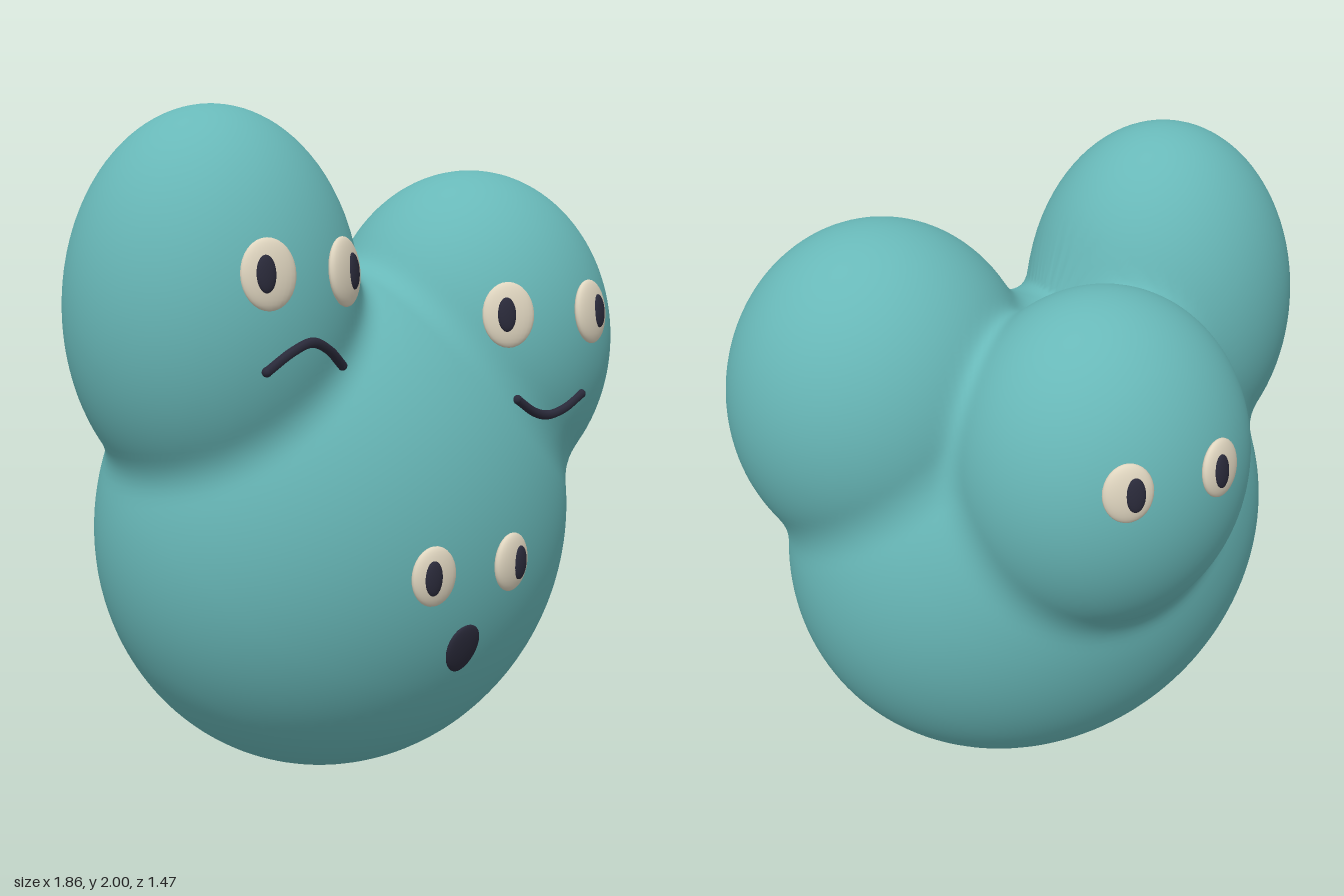
import * as THREE from 'three';
import { mergeVertices } from 'three/addons/utils/BufferGeometryUtils.js';

const teal = new THREE.MeshStandardMaterial({ color: 0x68b8b8 });
teal.name = 'teal skin';
const cream = new THREE.MeshStandardMaterial({ color: 0xe0d6c0 });
cream.name = 'cream eye';
const dark = new THREE.MeshStandardMaterial({ color: 0x2a2a3a });
dark.name = 'dark pupil and mouth';

// Lobes of the blob: centre and radii
const lobes = [
  { c: [0, 0.77, 0.1], r: [0.8, 0.77, 0.6] }, // belly
  { c: [-0.5, 1.43, 0.145], r: [0.43, 0.57, 0.405] }, // right head
  { c: [0.455, 1.3, 0.19], r: [0.47, 0.53, 0.435] }, // left head
  { c: [0, 1.18, -0.31], r: [0.46, 0.52, 0.41] }, // back head
];

// Approximate distance to one ellipsoid
function lobeDistance(p, { c, r }) {
  let a = 0, b = 0;
  [p.x, p.y, p.z].forEach((v, i) => {
    const d = (v - c[i]) / r[i];
    a += d * d;
    b += (d / r[i]) ** 2;
  });
  const k = Math.sqrt(a);
  return (k * (k - 1)) / Math.max(Math.sqrt(b), 1e-6);
}

// Lobes joined with a small soft fillet
function distance(p) {
  const k = 0.06;
  return lobes.map((l) => lobeDistance(p, l)).reduce((a, b) => {
    const h = Math.max(k - Math.abs(a - b), 0) / k;
    return Math.min(a, b) - (h * h * k) / 4;
  });
}

// Walk from outside along a direction until the skin is reached
function hitSkin(start, dir) {
  const p = start.clone();
  for (let i = 0; i < 90; i++) {
    const d = distance(p);
    if (d < 0.0004) break;
    p.addScaledVector(dir, d * 0.8);
  }
  return p;
}

function skinPoint(x, y, side) {
  return hitSkin(new THREE.Vector3(x, y, side * 1.5), new THREE.Vector3(0, 0, -side));
}

function skinNormal(p) {
  const e = 0.005;
  const slope = (x, y, z) =>
    distance(p.clone().add(new THREE.Vector3(x, y, z))) -
    distance(p.clone().sub(new THREE.Vector3(x, y, z)));
  return new THREE.Vector3(slope(e, 0, 0), slope(0, e, 0), slope(0, 0, e)).normalize();
}

// Sphere shrink-wrapped onto the joined lobes
function makeBody() {
  let geo = new THREE.IcosahedronGeometry(1, 40);
  geo.deleteAttribute('normal');
  geo.deleteAttribute('uv');
  geo = mergeVertices(geo, 1e-5);
  const core = new THREE.Vector3(0, 1.2, 0.06);
  const pos = geo.attributes.position;
  for (let i = 0; i < pos.count; i++) {
    const dir = new THREE.Vector3().fromBufferAttribute(pos, i).normalize();
    const p = hitSkin(core.clone().addScaledVector(dir, 1.6), dir.clone().negate());
    pos.setXYZ(i, p.x, p.y, p.z);
  }
  geo.computeVertexNormals();
  const mesh = new THREE.Mesh(geo, teal);
  mesh.name = 'body';
  return mesh;
}

const ball = new THREE.SphereGeometry(1, 24, 16);

// Flattened eye with a raised pupil, turned along the skin
function makeEye(x, y, side, rx, ry, pupilShift) {
  const eye = new THREE.Group();
  eye.name = 'eye';
  const white = new THREE.Mesh(ball, cream);
  white.name = 'eyeWhite';
  white.scale.set(rx, ry, 0.025);
  const pupil = new THREE.Mesh(ball, dark);
  pupil.name = 'pupil';
  pupil.scale.set(0.028, 0.05, 0.012);
  pupil.position.set(pupilShift * side, 0, 0.021);
  eye.add(white, pupil);
  const p = skinPoint(x, y, side);
  const n = skinNormal(p);
  n.y *= 0.6;
  eye.position.copy(p).addScaledVector(n, 0.01);
  eye.lookAt(eye.position.clone().add(n));
  return eye;
}

// Thin curved mouth lying on the skin
function makeMouth(points) {
  const curve = new THREE.CatmullRomCurve3(
    points.map(([x, y]) => skinPoint(x, y, 1).add(new THREE.Vector3(0, 0, 0.004))));
  const mouth = new THREE.Mesh(new THREE.TubeGeometry(curve, 28, 0.014, 8), dark);
  mouth.name = 'mouthLine';
  for (const t of [0, 1]) {
    const cap = new THREE.Mesh(ball, dark);
    cap.name = 'mouthEnd';
    cap.scale.setScalar(0.0139);
    cap.position.copy(curve.getPoint(t));
    mouth.add(cap);
  }
  return mouth;
}

// Open mouth: a flat egg, wider towards the top
function makeOpenMouth() {
  const geo = ball.clone();
  const pos = geo.attributes.position;
  for (let i = 0; i < pos.count; i++) {
    const y = pos.getY(i);
    pos.setX(i, pos.getX(i) * (1 + 0.1 * y));
  }
  geo.computeVertexNormals();
  const mouth = new THREE.Mesh(geo, dark);
  mouth.name = 'openMouth';
  mouth.scale.set(0.06, 0.077, 0.015);
  const p = skinPoint(0, 0.465, 1);
  const n = skinNormal(p);
  mouth.position.copy(p).addScaledVector(n, 0.005);
  mouth.lookAt(mouth.position.clone().add(n));
  return mouth;
}

export function createModel() {
  const model = new THREE.Group();
  model.name = 'blobCreature';
  model.add(makeBody());

  // Eyes: x, y, side, radii, pupil shift
  [
    [-0.6, 1.54, 1, 0.08, 0.096, -0.015],
    [-0.33, 1.54, 1, 0.08, 0.096, 0.012],
    [0.247, 1.403, 1, 0.08, 0.096, -0.012],
    [0.553, 1.403, 1, 0.08, 0.096, 0.015],
    [-0.15, 0.703, 1, 0.073, 0.086, -0.014],
    [0.15, 0.703, 1, 0.073, 0.086, 0.014],
    [-0.147, 1.283, -1, 0.073, 0.086, 0.016],
    [0.147, 1.283, -1, 0.073, 0.086, -0.016],
  ].forEach((e) => model.add(makeEye(...e)));

  // Frown, smile and gasp
  model.add(makeMouth([[-0.6, 1.285], [-0.53, 1.335], [-0.465, 1.357], [-0.4, 1.335], [-0.33, 1.285]]));
  model.add(makeMouth([[0.27, 1.155], [0.34, 1.113], [0.4, 1.1], [0.46, 1.113], [0.535, 1.155]]));
  model.add(makeOpenMouth());
  return model;
}
